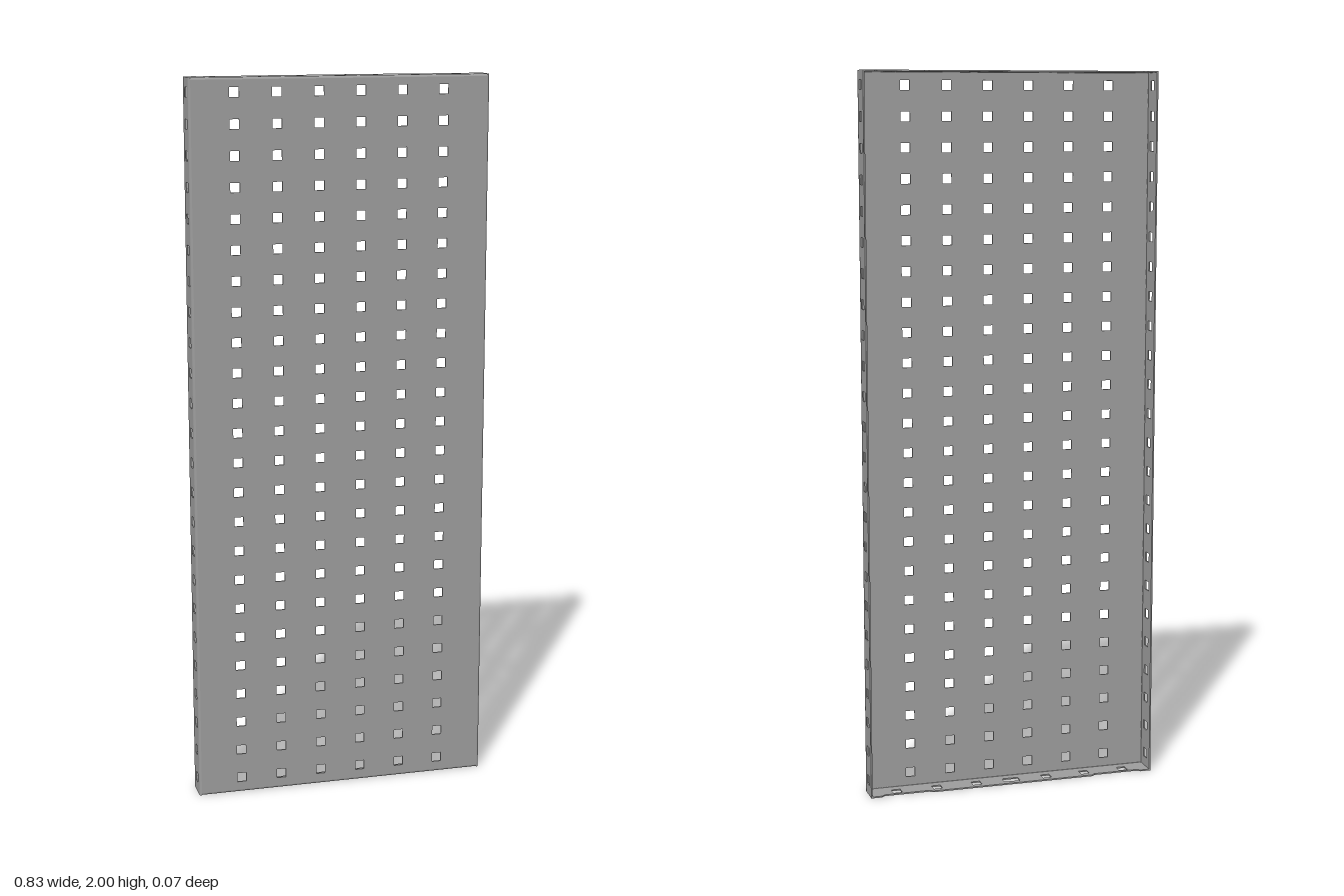
import * as THREE from 'three';
import { toCreasedNormals } from 'three/addons/utils/BufferGeometryUtils.js';

const W = 0.415, H = 2, D = 0.035; // half width, height, half depth
const T = 0.004, R = 0.006;        // sheet thickness, bend radius
const HOLE = 0.026;

export function createModel() {
  const group = new THREE.Group();
  const steel = new THREE.MeshStandardMaterial({ color: 0x9c9c9c });
  steel.name = 'grey steel';

  const add = (name, geometry, x, y, z) => {
    const mesh = new THREE.Mesh(geometry, steel);
    mesh.name = name;
    mesh.position.set(x, y, z);
    group.add(mesh);
  };

  // Flat sheet with rectangular holes given as [x, y, width]
  const sheet = (outline, holes) => {
    const shape = new THREE.Shape(outline.map(([x, y]) => new THREE.Vector2(x, y)));
    for (const [x, y, w] of holes) {
      const a = w / 2, b = HOLE / 2;
      shape.holes.push(new THREE.Path([[-a, -b], [-a, b], [a, b], [a, -b]]
        .map(([u, v]) => new THREE.Vector2(x + u, y + v))));
    }
    return new THREE.ExtrudeGeometry(shape, { depth: T, bevelEnabled: false });
  };

  // Quarter-round fold joining two sheets
  const bend = (start, length) => {
    const shape = new THREE.Shape();
    const end = start + Math.PI / 2;
    shape.absarc(0, 0, R, start, end, false);
    shape.absarc(0, 0, R - T, end, start, true);
    const geometry = new THREE.ExtrudeGeometry(shape, { depth: length, bevelEnabled: false, curveSegments: 5 });
    return toCreasedNormals(geometry, 0.6);
  };

  const rows = Array.from({ length: 24 }, (_, i) => 0.043 + i * 0.0834);
  const columns = Array.from({ length: 6 }, (_, i) => -0.293 + i * 0.1157);

  // Perforated front face
  const fx = W - R;
  add('frontPanel', sheet(
    [[-fx, R], [fx, R], [fx, H - R], [-fx, H - R]],
    rows.flatMap(y => columns.map(x => [x, y, HOLE]))
  ), 0, 0, D - T);

  // Side flanges and their folds
  for (const side of [1, -1]) {
    const name = side > 0 ? 'left' : 'right';
    const flange = sheet(
      [[R - D, 0], [D, 0], [D, H], [R - D, H]],
      rows.map(y => [0, y, HOLE])
    ).rotateY(Math.PI / 2);
    add(name + 'Flange', flange, side > 0 ? W - T : -W, 0, 0);
    const fold = bend(side > 0 ? -Math.PI / 2 : Math.PI, H).rotateX(-Math.PI / 2);
    add(name + 'Fold', fold, side * fx, 0, D - R);
  }

  // End flanges: notched rear edge, six square holes and a central slot
  const inner = W - T, notch = D - 0.008;
  const endOutline = [
    [-inner, R - D], [inner, R - D], [inner, D], [0.384, D], [0.375, notch],
    [0.246, notch], [0.236, D], [-0.236, D], [-0.246, notch],
    [-0.375, notch], [-0.384, D], [-inner, D]
  ];
  const endHoles = [-0.337, -0.221, -0.106, 0.102, 0.218, 0.335].map(x => [x, 0.006, HOLE]);
  endHoles.push([-0.001, 0.006, 0.047]);
  for (const top of [true, false]) {
    const name = top ? 'top' : 'bottom';
    add(name + 'Flange', sheet(endOutline, endHoles).rotateX(-Math.PI / 2), 0, top ? H - T : 0, 0);
    const fold = bend(top ? Math.PI / 2 : Math.PI, 2 * fx).rotateY(Math.PI / 2);
    add(name + 'Fold', fold, -fx, top ? H - R : R, D - R);
  }
  return group;
}
